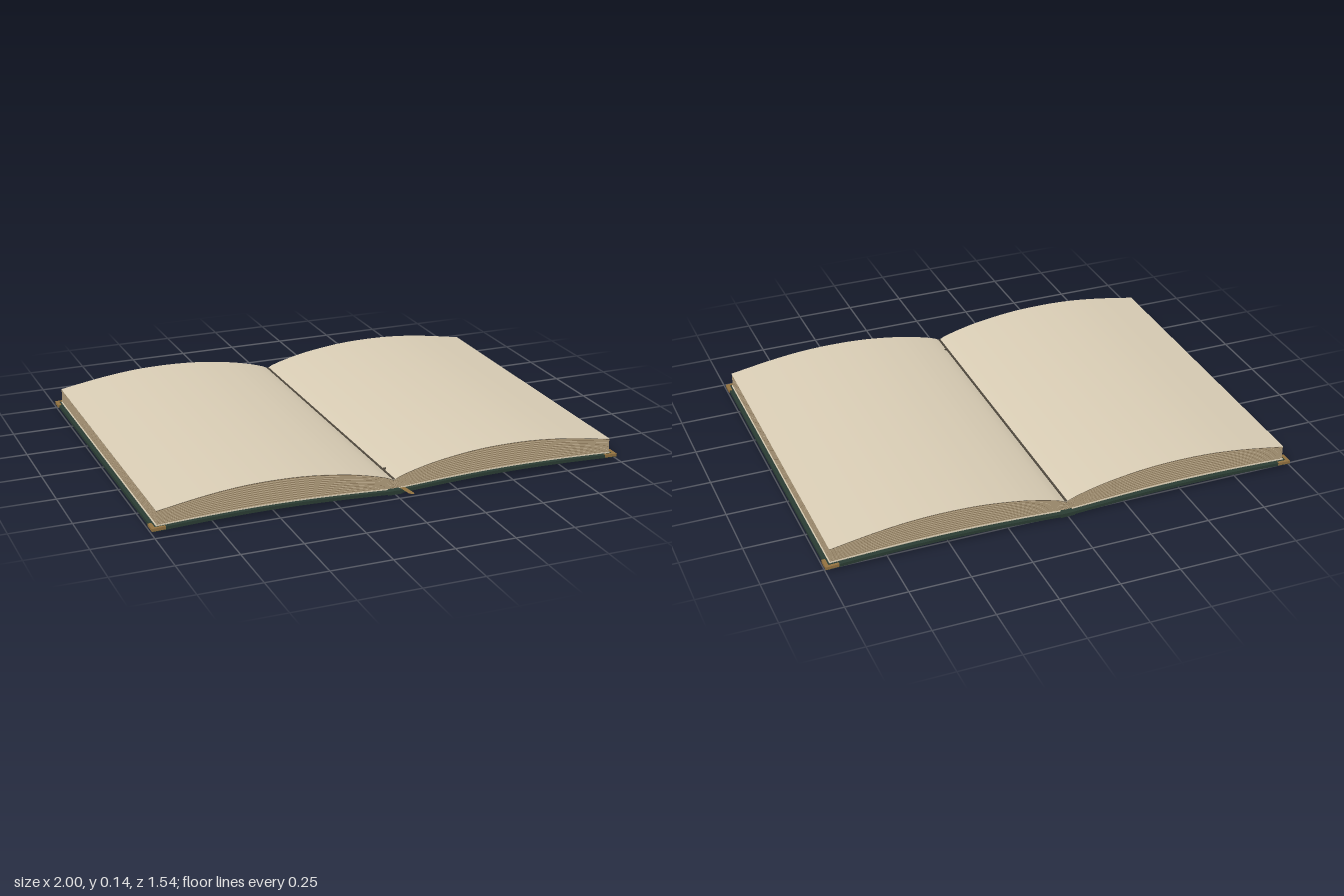
import * as THREE from 'three';

const mat = (name, color) => {
  const m = new THREE.MeshStandardMaterial({ color });
  m.name = name;
  return m;
};

export function createModel() {
  const book = new THREE.Group();
  book.name = 'openBook';
  const paper = mat('cream paper', 0xd8ccb4);
  const edgeLight = mat('pale page edge', 0xcab695);
  const edgeDark = mat('tan page edge', 0x9c8766);
  const cloth = mat('dark green cloth', 0x2a3c33);
  const gold = mat('old gold', 0x91713f);
  const shade = mat('gutter brown', 0x4e473c);
  gold.side = THREE.DoubleSide;

  // Heights as functions of the distance from the spine
  const coverBottom = (x) => 0.002 + 0.006 * x + 0.016 * Math.sin(Math.PI * Math.min(x, 1));
  const coverTop = (x) => coverBottom(x) + 0.013;
  const blockBottom = (x) => coverTop(x) + 0.004;
  const crown = new THREE.SplineCurve([
    [0, 0.056], [0.03, 0.07], [0.1, 0.09], [0.2, 0.111], [0.35, 0.13], [0.5, 0.136],
    [0.65, 0.131], [0.8, 0.114], [0.975, 0.085],
  ].map(([x, y]) => new THREE.Vector2(x, y))).getPoints(160);
  const pageTop = (x) => {
    const i = Math.max(1, crown.findIndex((p) => p.x >= x - 1e-6));
    const a = crown[i - 1], b = crown[i];
    return a.y + (b.y - a.y) * (x - a.x) / (b.x - a.x);
  };

  // A slab bent between a lower and an upper height curve
  function slab(name, material, x0, x1, z0, z1, lower, upper, segments = 40) {
    const g = new THREE.BoxGeometry(x1 - x0, 1, z1 - z0, segments, 1, 1);
    g.translate((x0 + x1) / 2, 0.5, (z0 + z1) / 2);
    const p = g.attributes.position;
    for (let i = 0; i < p.count; i++) {
      const x = Math.abs(p.getX(i));
      p.setY(i, THREE.MathUtils.lerp(lower(x), upper(x), p.getY(i)));
    }
    g.computeVertexNormals();
    const mesh = new THREE.Mesh(g, material);
    mesh.name = name;
    book.add(mesh);
  }

  const layers = 22;
  for (const side of [1, -1]) {
    const span = (a, b) => (side > 0 ? [a, b] : [-b, -a]);
    const label = side > 0 ? 'left' : 'right';

    // Cover board and endpaper
    slab(label + 'Cover', cloth, ...span(0.025, 0.995), -0.768, 0.71, coverBottom, coverTop);
    slab(label + 'Endpaper', paper, ...span(0.025, 0.978), -0.748, 0.692, coverTop, blockBottom);

    // Page block as a stack of bent leaves, light and dark by turns
    const level = (t) => (x) => THREE.MathUtils.lerp(blockBottom(x), pageTop(x) - 0.003, t);
    for (let i = 0; i < layers; i++) {
      slab(label + 'Pages', i % 2 ? edgeDark : edgeLight, ...span(0, 0.974), -0.745, 0.69,
        level(i / layers), level((i + 1) / layers));
    }
    // Top leaf over a thin dark line
    slab(label + 'LeafLine', shade, ...span(0, 0.9745), -0.7455, 0.6905,
      level(1), (x) => pageTop(x) - 0.0015);
    slab(label + 'TopLeaf', paper, ...span(0, 0.975), -0.746, 0.691,
      (x) => pageTop(x) - 0.0015, pageTop);

    // Gold corner guards, L-shaped round each outer corner
    const low = (x) => coverBottom(x) + 0.003;
    const high = (x) => coverTop(x) + 0.002;
    for (const [z0, z1, zEdge] of [[-0.77, -0.715, -0.77], [0.657, 0.712, 0.7]]) {
      slab(label + 'CornerSide', gold, ...span(0.985, 1), z0, z1, low, high, 2);
      slab(label + 'CornerEnd', gold, ...span(0.945, 0.985), zEdge, zEdge + 0.012, low, high, 4);
    }
  }

  // Spine strip and the dark fold between the pages
  slab('spine', cloth, -0.03, 0.03, -0.768, 0.71, () => 0, () => 0.016, 2);
  slab('gutterFold', shade, -0.005, 0.005, -0.745, 0.69, () => 0.052, (x) => pageTop(x) + 0.001, 4);

  // Flat ribbon with a tail that leaves below the pages
  const tail = new THREE.Shape([[0.012, 0.6], [0.034, 0.6], [0.058, 0.764], [0.048, 0.77], [0.036, 0.76]]
    .map(([x, z]) => new THREE.Vector2(x, z)));
  const ribbon = new THREE.Mesh(new THREE.ShapeGeometry(tail).rotateX(Math.PI / 2).translate(0, 0.0185, 0), gold);
  ribbon.name = 'ribbonTail';
  book.add(ribbon);

  // Small fold of ribbon peeping out of the gutter
  const tip = new THREE.Mesh(new THREE.ConeGeometry(0.012, 0.024, 3).rotateX(Math.PI / 2), shade);
  tip.name = 'ribbonFold';
  tip.position.set(0.012, 0.058, 0.59);
  book.add(tip);

  return book;
}
